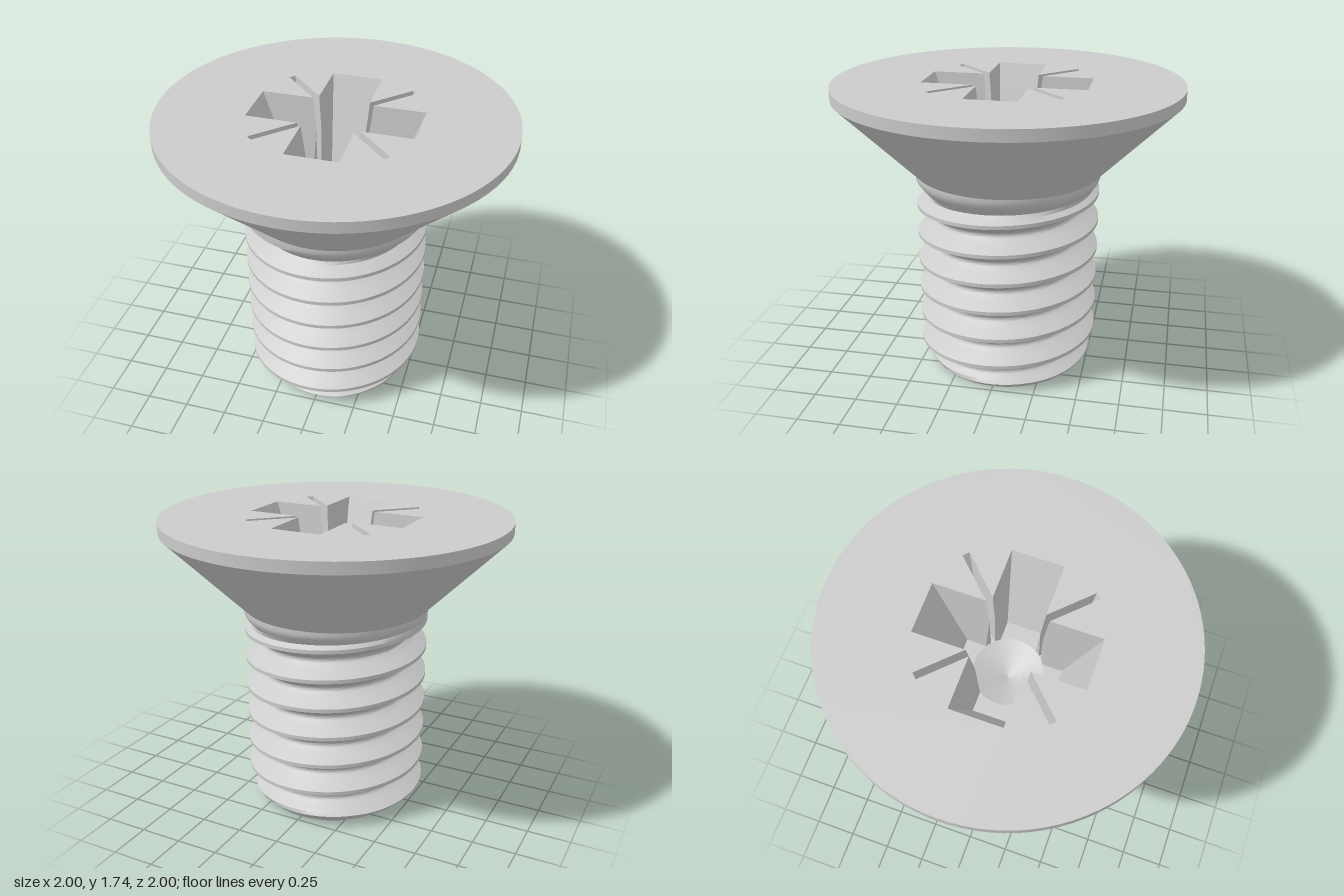
import * as THREE from 'three';
import { toCreasedNormals } from 'three/addons/utils/BufferGeometryUtils.js';

const TAU = Math.PI * 2, SEG = 96;
const TOP = 1.74, RIM = 1.675, NECK = 1.22, NECK_R = 0.545;
const PITCH = 0.175, MAJOR = 0.54, MINOR = 0.43, ROOT = 0.0225;
const FLOOR = 1.24, PIT_R = 0.2;
const mix = THREE.MathUtils.lerp, clamp = THREE.MathUtils.clamp;

// Joins rings of equal point count, listed bottom to top and counterclockwise from above.
function loft(rings, { inward = false, cap = false } = {}) {
  const n = rings[0].length, pos = rings.flat(2), index = [];
  const same = (a, b) => [0, 1, 2].every(k => Math.abs(pos[a * 3 + k] - pos[b * 3 + k]) < 1e-6);
  const tri = (a, b, c) => {
    if (same(a, b) || same(b, c) || same(a, c)) return;
    index.push(...(inward ? [a, c, b] : [a, b, c]));
  };
  for (let j = 0; j < rings.length - 1; j++) {
    for (let i = 0; i < n; i++) {
      const a = j * n + i, b = j * n + (i + 1) % n;
      tri(a, b, b + n);
      tri(a, b + n, a + n);
    }
  }
  if (cap) {
    pos.push(0, rings[0][0][1], 0);
    for (let i = 0; i < n; i++) tri(pos.length / 3 - 1, (i + 1) % n, i);
  }
  const g = new THREE.BufferGeometry();
  g.setAttribute('position', new THREE.Float32BufferAttribute(pos, 3));
  g.setIndex(index);
  return toCreasedNormals(g, 0.6);
}

// Thread radius: flat crest, 60 degree flanks, rounded root, run-out above, chamfer below
function threadRadius(y, theta) {
  const u = (y - 0.003) / PITCH - theta / TAU;
  const d = Math.abs(u - Math.round(u)) * PITCH;
  const fromRoot = PITCH / 2 - d;
  let r = fromRoot < ROOT * Math.sin(Math.PI / 3)
    ? MINOR + ROOT - Math.sqrt(ROOT * ROOT - fromRoot * fromRoot)
    : Math.min(MAJOR, MAJOR - (d - 0.011) * Math.sqrt(3));
  r = Math.max(r, MINOR + (NECK_R - MINOR) * THREE.MathUtils.smoothstep(y, 1.02, 1.2));
  return Math.min(r, 0.455 + y);
}

// Rows follow the helix, so crest edges stay sharp; the last column meets the row one pitch up.
function threadGeometry() {
  const offsets = [-0.011, 0.011, 0.03, 0.05, 0.068, 0.075, 0.081, 0.0875, 0.094, 0.1, 0.107, 0.125, 0.145];
  const rows = [];
  for (let k = -1; k <= 7; k++) for (const o of offsets) rows.push(k * PITCH + o + 0.003);
  const m = offsets.length, pos = [], index = [];
  const vertex = (y, theta) => {
    const r = threadRadius(y, theta);
    pos.push(r * Math.cos(theta), y, -r * Math.sin(theta));
  };
  for (const row of rows) {
    for (let i = 0; i <= SEG; i++) {
      const theta = (i / SEG) * TAU;
      vertex(clamp(row + PITCH * i / SEG, 0, NECK), theta);
    }
  }
  const w = SEG + 1;
  const tri = (a, b, c) => {
    const p = [a, b, c].map(v => new THREE.Vector3().fromArray(pos, v * 3));
    if (p[1].sub(p[0]).cross(p[2].sub(p[0])).length() > 1e-9) index.push(a, b, c);
  };
  for (let j = 0; j < rows.length - 1; j++) {
    for (let i = 0; i < SEG; i++) {
      const a = j * w + i;
      tri(a, a + 1, a + 1 + w);
      tri(a, a + 1 + w, a + w);
    }
  }
  // close the part of the first pitch that starts above the base at the seam
  for (let j = 0; j < rows.length - m; j++) {
    for (let k = 0; k < 3; k++) pos[(j * w + SEG) * 3 + k] = pos[((j + m) * w) * 3 + k];
  }
  // flat end
  const c = pos.length / 3;
  pos.push(0, 0, 0);
  for (let i = 0; i <= SEG; i++) vertex(0, (i / SEG) * TAU);
  for (let i = 0; i < SEG; i++) index.push(c, c + 2 + i, c + 1 + i);
  const g = new THREE.BufferGeometry();
  g.setAttribute('position', new THREE.Float32BufferAttribute(pos, 3));
  g.setIndex(index);
  return toCreasedNormals(g, 0.6);
}

// Recess sizes at depth t (0 = top face, 1 = floor)
const recessSize = t => ({
  arm: mix(0.472, 0.285, t), armW: mix(0.147, 0.105, t),
  slot: mix(0.52, 0.42, t), slotW: mix(0.02, 0.012, t),
});

// Outline of the recess: four wide arms, four thin diagonal slots and the round pit
function recessOutline(t) {
  const { arm, armW, slot, slotW } = recessSize(t);
  const h = Math.SQRT1_2;
  const meet = armW + slotW / h, onPit = Math.sqrt(PIT_R ** 2 - armW ** 2);
  const a = Math.PI / 4 - Math.asin(slotW / PIT_R);
  const joined = meet >= onPit;
  const half = [
    [arm, armW],
    joined ? [meet, armW] : [onPit, armW],
    joined ? [meet, armW] : [PIT_R * Math.cos(a), PIT_R * Math.sin(a)],
    [(slot + slotW) * h, (slot - slotW) * h],
  ];
  const quarter = [...half, ...half.map(([x, y]) => [y, x]).reverse()];
  const out = [];
  for (let q = 0; q < 4; q++) {
    const c = [1, 0, -1, 0][q], s = [0, 1, 0, -1][q];
    for (const [x, y] of quarter) out.push([x * c - y * s, x * s + y * c]);
  }
  return out;
}

// Floor of one arm or slot, ending on the pit's edge
function floorGeometry(length, halfWidth, angle) {
  const a = Math.asin(halfWidth / PIT_R), s = new THREE.Shape();
  s.moveTo(length, -halfWidth);
  s.lineTo(length, halfWidth);
  s.absarc(0, 0, PIT_R, a, -a, true);
  return new THREE.ShapeGeometry(s, 8).rotateX(-Math.PI / 2).rotateY(angle).translate(0, FLOOR, 0);
}

export function createModel() {
  const model = new THREE.Group();
  model.name = 'countersunkScrew';
  const material = new THREE.MeshStandardMaterial({ color: 0xcccccc, side: THREE.DoubleSide });
  const add = (name, geometry, parent = model) => {
    const mesh = new THREE.Mesh(geometry, material);
    mesh.name = name;
    parent.add(mesh);
  };

  add('threadedShank', threadGeometry());

  // Head: cone, rim and top face with the recess opening
  const profile = [[NECK_R, NECK], [1, RIM], [1, TOP]].map(p => new THREE.Vector2(...p));
  add('headCone', toCreasedNormals(new THREE.LatheGeometry(profile, SEG), 0.6));
  const disc = [];
  for (let i = 0; i < SEG; i++) disc.push(new THREE.Vector2(Math.cos(i / SEG * TAU), Math.sin(i / SEG * TAU)));
  const face = new THREE.Shape(disc);
  const opening = recessOutline(0).map(p => new THREE.Vector2(...p))
    .filter((p, i, all) => i === 0 || p.distanceTo(all[i - 1]) > 1e-6);
  face.holes.push(new THREE.Path(opening));
  add('headFace', new THREE.ShapeGeometry(face).rotateX(-Math.PI / 2).translate(0, TOP, 0));

  // Drive recess
  const recess = new THREE.Group();
  recess.name = 'driveRecess';
  model.add(recess);
  const rings = [];
  for (let k = 0; k <= 10; k++) {
    const t = 1 - k / 10;
    rings.push(recessOutline(t).map(([x, y]) => [x, mix(TOP, FLOOR, t), -y]));
  }
  add('recessWalls', loft(rings, { inward: true }), recess);
  const { arm, armW, slot, slotW } = recessSize(1);
  for (let q = 0; q < 4; q++) {
    add('armFloor', floorGeometry(arm, armW, q * Math.PI / 2), recess);
    add('slotFloor', floorGeometry(slot, slotW, (q + 0.5) * Math.PI / 2), recess);
  }
  const pit = [[0, FLOOR - 0.08], [PIT_R, FLOOR]].map(p => new THREE.Vector2(...p));
  add('recessPit', new THREE.LatheGeometry(pit, 48), recess);
  return model;
}
